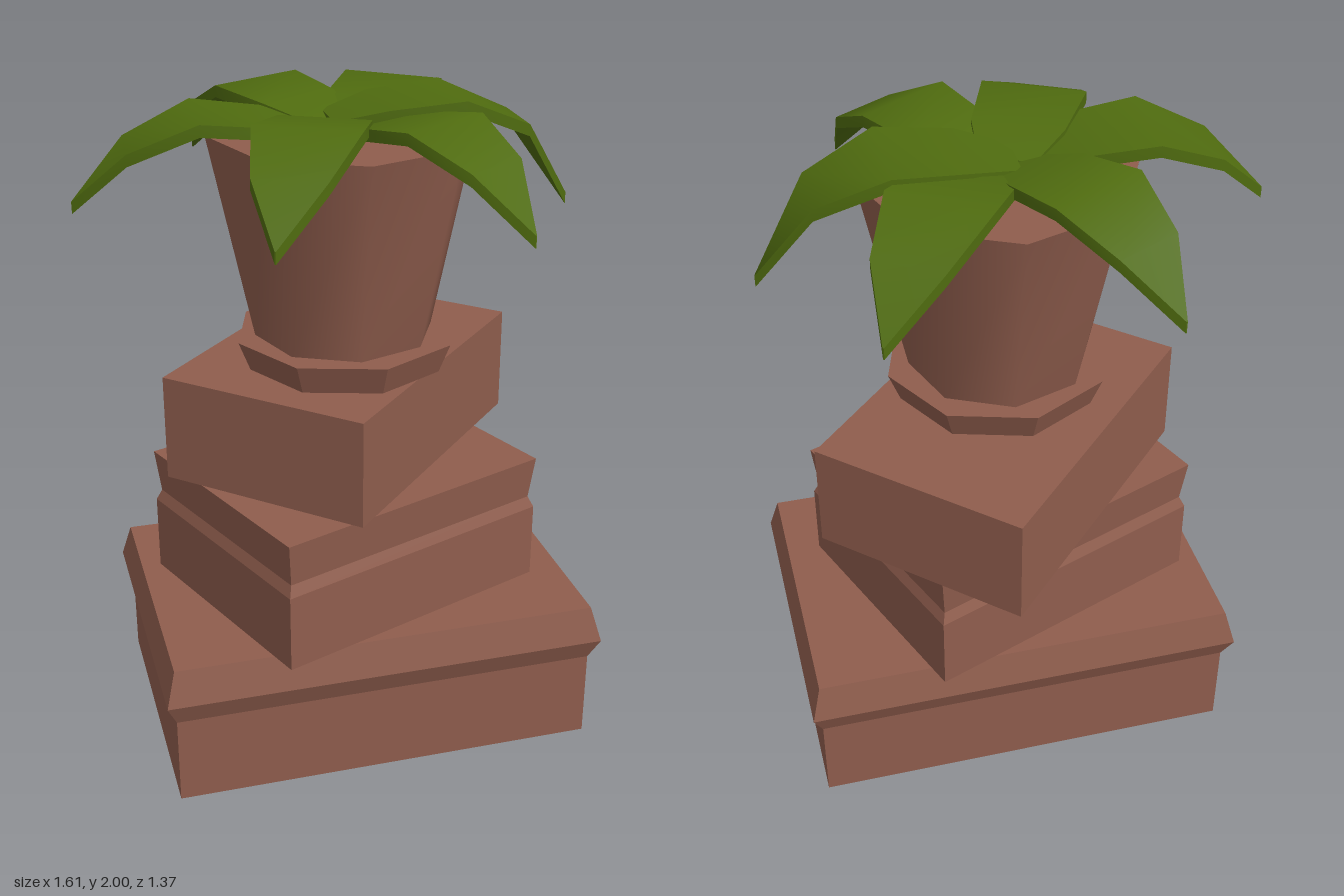
import * as THREE from 'three';
import { toCreasedNormals } from 'three/addons/utils/BufferGeometryUtils.js';

// Skin a stack of equal-sized rings, each counterclockwise seen from the last ring, and cap both ends.
function loft(rings, crease) {
  const n = rings[0].length, index = [];
  for (let i = 0; i < rings.length - 1; i++) {
    for (let j = 0; j < n; j++) {
      const a = i * n + j, b = i * n + (j + 1) % n;
      index.push(a, b, b + n, a, b + n, a + n);
    }
  }
  const top = (rings.length - 1) * n;
  for (let j = 1; j < n - 1; j++) index.push(0, j + 1, j, top, top + j, top + j + 1);
  const geometry = new THREE.BufferGeometry();
  geometry.setAttribute('position', new THREE.Float32BufferAttribute(rings.flat(2), 3));
  geometry.setIndex(index);
  return toCreasedNormals(geometry.toNonIndexed(), crease);
}

// Rectangular block; profile rows are [y, inset from full size]
function block(width, depth, profile) {
  return loft(profile.map(([y, inset]) => {
    const w = width / 2 - inset, d = depth / 2 - inset;
    return [[w, y, d], [w, y, -d], [-w, y, -d], [-w, y, d]];
  }), 0.1);
}

// Eight-sided vessel; profile rows are [y, radius]
function octagon(profile, crease) {
  return loft(profile.map(([y, r]) => Array.from({ length: 8 }, (_, k) => {
    const a = k * Math.PI / 4;
    return [r * Math.cos(a), y, -r * Math.sin(a)];
  })), crease);
}

// Arched leaf growing along +z; rows are [fraction of length, half width, height]
function leafGeometry(length, tipY, lift) {
  const rows = [
    [0, 0.08, 1.925], [0.2, 0.135, 1.965], [0.5, 0.155, 1.99],
    [0.78, 0.105, 1.905], [1, 0.002, tipY],
  ];
  const thickness = 0.035;
  return loft(rows.map(([t, w, h]) => {
    const y = h + lift * (1 - t), z = t * length;
    return [[w, y, z], [-w, y, z], [-w, y - thickness, z], [w, y - thickness, z]];
  }), 0.7);
}

export function createModel() {
  const group = new THREE.Group();
  const clay = new THREE.MeshStandardMaterial({ color: 0x8f5d4d });
  clay.name = 'clay brown';
  const green = new THREE.MeshStandardMaterial({ color: 0x4f6b0f });
  green.name = 'leaf green';

  const add = (name, geometry, material, x, z, turn) => {
    const mesh = new THREE.Mesh(geometry, material);
    mesh.name = name;
    mesh.position.set(x, 0, z);
    mesh.rotation.y = turn;
    group.add(mesh);
  };

  // Three stacked, twisted blocks
  add('bottomBlock', block(1.367, 0.95, [[0, 0.029], [0.28, 0.029], [0.35, 0], [0.46, 0.029]]),
    clay, 0, 0, 0.357);
  add('middleBlock', block(0.935, 0.755, [[0.46, 0], [0.7, 0], [0.735, 0.014], [0.87, 0]]),
    clay, -0.018, 0.015, 0.724);
  add('topBlock', block(0.974, 0.674, [[0.87, 0], [1.2, 0]]), clay, -0.038, -0.105, 1.164);

  // Saucer with hard facets, pot with smooth sides
  add('saucer', octagon([[1.2, 0.305], [1.29, 0.34]], 0.1), clay, -0.015, -0.008, -0.33);
  add('pot', octagon([[1.29, 0.272], [1.905, 0.4]], 1), clay, -0.02, -0.008, -0.5);

  // Leaves: base x, z, tip x, z, tip height, extra lift at the base
  const leaves = [
    [0.0, -0.02, 0.2, -0.675, 1.755, 0],
    [-0.065, 0.0, 0.635, -0.24, 1.665, 0.02],
    [0.03, 0.03, 0.53, 0.43, 1.745, 0],
    [-0.04, 0.0, -0.13, 0.675, 1.765, 0.01],
    [-0.08, 0.07, -0.76, 0.26, 1.75, 0],
    [-0.06, -0.02, -0.55, -0.47, 1.75, 0.008],
  ];
  for (const [x, z, tx, tz, tipY, lift] of leaves) {
    const dx = tx - x, dz = tz - z;
    add('leaf', leafGeometry(Math.hypot(dx, dz), tipY, lift), green, x, z, Math.atan2(dx, dz));
  }
  return group;
}
